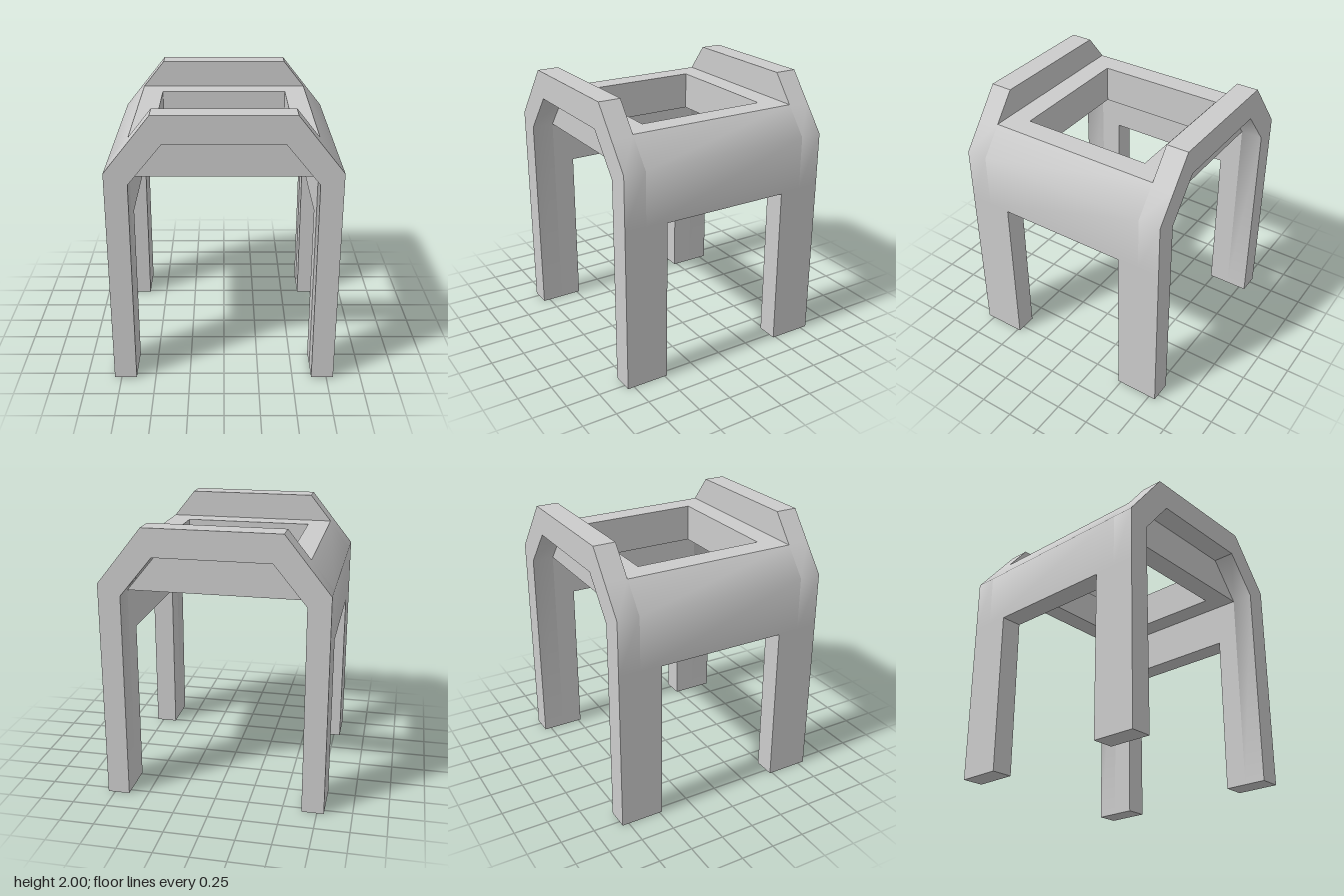
import * as THREE from 'three';
import { toCreasedNormals } from 'three/addons/utils/BufferGeometryUtils.js';

const grey = new THREE.MeshStandardMaterial({ color: 0xcccccc });
grey.name = 'light grey';

// Extrude an x/y outline between two z values, smoothing only the shallow bends
function extrude(name, points, z0, z1) {
  const shape = new THREE.Shape(points.map(([x, y]) => new THREE.Vector2(x, y)));
  const geometry = new THREE.ExtrudeGeometry(shape, { depth: z1 - z0, bevelEnabled: false });
  geometry.translate(0, 0, z0);
  const mesh = new THREE.Mesh(toCreasedNormals(geometry, 0.72), grey);
  mesh.name = name;
  return mesh;
}

function box(name, x0, x1, y0, y1, z0, z1) {
  const geometry = new THREE.BoxGeometry(x1 - x0, y1 - y0, z1 - z0);
  geometry.translate((x0 + x1) / 2, (y0 + y1) / 2, (z0 + z1) / 2);
  const mesh = new THREE.Mesh(geometry, grey);
  mesh.name = name;
  return mesh;
}

const mirrorX = (points) => points.map(([x, y]) => [-x, y]).reverse();

export function createModel() {
  const group = new THREE.Group();
  group.name = 'openFrameStool';

  // Right half of the end arch: up the outside, then the inside from the bottom up
  const outer = [[0.8, 0], [0.8, 1.2], [0.8, 1.6], [0.64, 1.8], [0.48, 2]];
  const inner = [[0.41, 1.8], [0.64, 1.52], [0.64, 0]];
  const arch = [...outer, ...mirrorX(outer), ...mirrorX(inner), ...inner];

  // Side wall with its sloped shoulder and seat rail
  const side = [
    [0.64, 1.2], [0.8, 1.2], [0.8, 1.6], [0.64, 1.8],
    [0.48, 1.8], [0.48, 1.52], [0.64, 1.52],
  ];

  // Raised arches at the front and back, with the seat's cross rails behind them
  for (const [end, s] of [['front', 1], ['back', -1]]) {
    const span = (a, b) => (s > 0 ? [a, b] : [-b, -a]);
    group.add(extrude(end + 'Arch', arch, ...span(0.64, 0.8)));
    group.add(box(end + 'SeatRail', -0.48, 0.48, 1.52, 1.8, ...span(0.48, 0.64)));
    // Close the seat rail ends under the shoulders
    // Inner part of each leg
    group.add(box(end + 'LeftLeg', 0.64, 0.8, 0, 1.2, ...span(0.48, 0.64)));
    group.add(box(end + 'RightLeg', -0.8, -0.64, 0, 1.2, ...span(0.48, 0.64)));
  }

  // Side walls
  group.add(extrude('leftSide', side, -0.64, 0.64));
  group.add(extrude('rightSide', mirrorX(side), -0.64, 0.64));
  return group;
}
